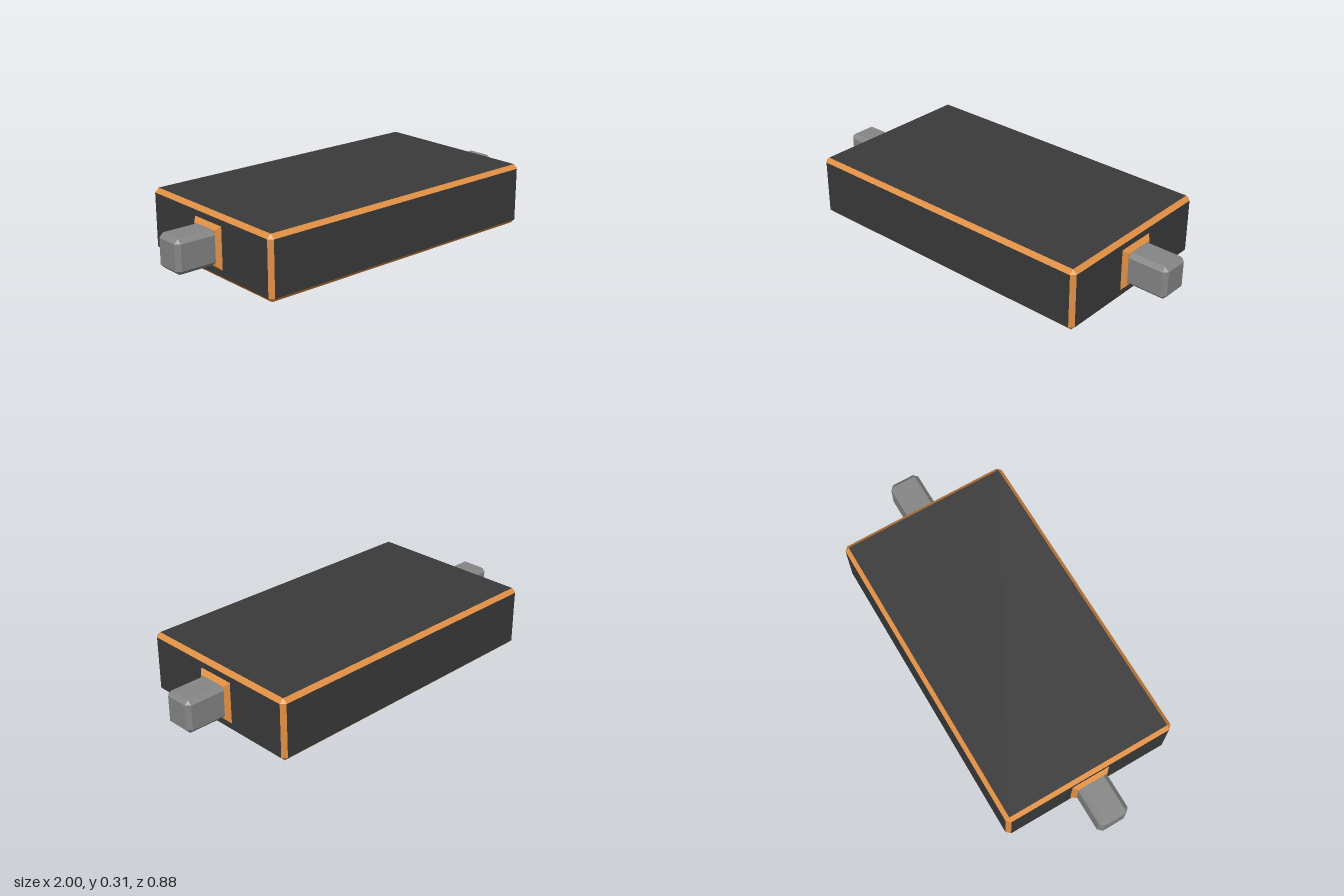
import * as THREE from 'three';
import { ConvexGeometry } from 'three/addons/geometries/ConvexGeometry.js';

const makeMaterial = (color) => new THREE.MeshStandardMaterial({ color, flatShading: true });

// Box with every edge cut at 45 degrees and triangular corners
function chamferedBox(hx, hy, hz, c) {
  const points = [];
  for (const x of [-1, 1]) for (const y of [-1, 1]) for (const z of [-1, 1]) {
    points.push(
      new THREE.Vector3(x * hx, y * (hy - c), z * (hz - c)),
      new THREE.Vector3(x * (hx - c), y * hy, z * (hz - c)),
      new THREE.Vector3(x * (hx - c), y * (hy - c), z * hz),
    );
  }
  return new ConvexGeometry(points);
}

// Separates the flat panels from the bevelled trim by face direction
function splitPanels(geometry) {
  const p = geometry.attributes.position;
  const panels = [], trim = [];
  const tri = new THREE.Triangle(), n = new THREE.Vector3();
  for (let i = 0; i < p.count; i += 3) {
    tri.setFromAttributeAndIndices(p, i, i + 1, i + 2);
    tri.getNormal(n);
    const flat = Math.max(Math.abs(n.x), Math.abs(n.y), Math.abs(n.z)) > 0.99;
    for (const v of [tri.a, tri.b, tri.c]) (flat ? panels : trim).push(v.x, v.y, v.z);
  }
  return [panels, trim].map((list) => {
    const g = new THREE.BufferGeometry();
    g.setAttribute('position', new THREE.Float32BufferAttribute(list, 3));
    g.computeVertexNormals();
    return g;
  });
}

// Tapered rectangular collar pointing along +x or -x
function collarGeometry(side, x0, x1, hy, hz, taper) {
  const points = [];
  for (const [x, t] of [[x0, 0], [x1, taper]]) {
    for (const y of [-1, 1]) for (const z of [-1, 1]) {
      points.push(new THREE.Vector3(side * x, y * (hy - t), z * (hz - t)));
    }
  }
  return new ConvexGeometry(points);
}

export function createModel() {
  const model = new THREE.Group();
  const dark = makeMaterial(0x3a3a3a);
  const orange = makeMaterial(0xe08f43);
  const grey = makeMaterial(0x858585);
  const midY = 0.1525;

  function add(name, geometry, material, x = 0) {
    const mesh = new THREE.Mesh(geometry, material);
    mesh.name = name;
    mesh.position.set(x, midY, 0);
    model.add(mesh);
  }

  // Main slab: dark panels framed by bevelled orange edges
  const [panels, trim] = splitPanels(chamferedBox(0.784, midY, 0.44, 0.02));
  add('bodyPanels', panels, dark);
  add('bodyEdgeTrim', trim, orange);

  // A collar and a peg at each end
  for (const side of [-1, 1]) {
    const prefix = side > 0 ? 'left' : 'right';
    add(prefix + 'Collar', collarGeometry(side, 0.784, 0.804, 0.1025, 0.098, 0.02), orange);
    add(prefix + 'Peg', chamferedBox(0.13, 0.082, 0.077, 0.02), grey, side * 0.87);
  }
  return model;
}
